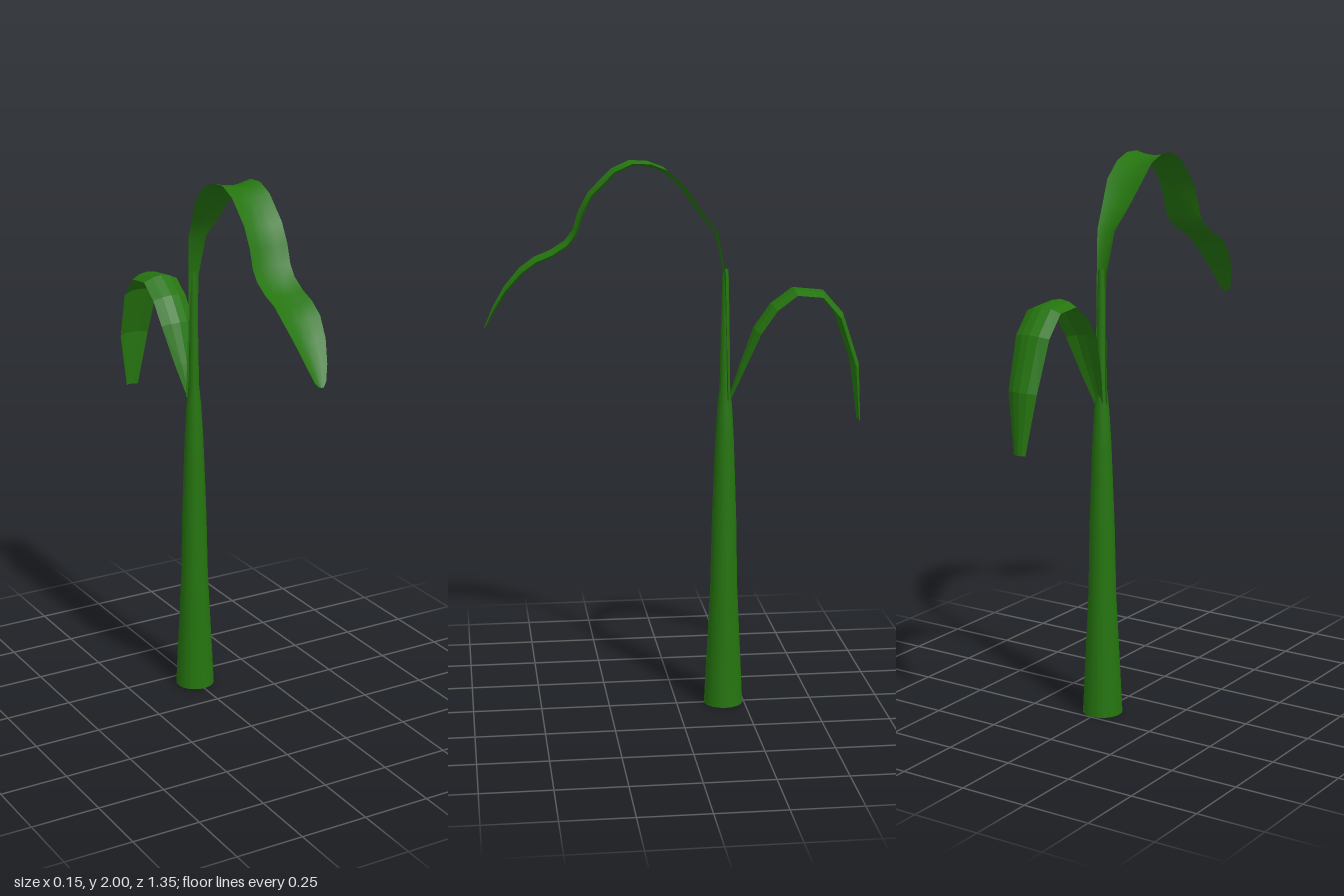
import * as THREE from 'three';

const STEM_Z = -0.174;

// Ribbon leaf: rows are [z, y, halfWidth]; fold lifts (+) or drops (-) the edges from the midrib.
function leafGeometry(rows, fold, faceted) {
  const pos = [], idx = [], across = [-1, -0.5, 0, 0.5, 1], n = across.length;
  rows.forEach(([z, y, w], i) => {
    const a = rows[Math.max(i - 1, 0)], b = rows[Math.min(i + 1, rows.length - 1)];
    let dz = b[0] - a[0], dy = b[1] - a[1];
    const len = Math.hypot(dz, dy);
    dz /= len; dy /= len;
    // outward side of the arch
    const s = Math.sign(rows[rows.length - 1][0] - rows[0][0]);
    const nz = -dy * s, ny = dz * s;
    for (const t of across) {
      const k = fold * (t * t - 0.5) * Math.min(1, w / 0.06);
      pos.push(t * w, y + ny * k, z + nz * k);
    }
    if (i === 0) return;
    for (let j = 0; j < n - 1; j++) {
      const p = (i - 1) * n + j, q = p + n;
      // keep the front face on the outer side of the arch
      if (s > 0) idx.push(p, q, p + 1, p + 1, q, q + 1);
      else idx.push(p, p + 1, q, p + 1, q + 1, q);
    }
  });
  let g = new THREE.BufferGeometry();
  g.setAttribute('position', new THREE.Float32BufferAttribute(pos, 3));
  g.setIndex(idx);
  if (faceted) g = g.toNonIndexed();
  g.computeVertexNormals();
  return g;
}

export function createModel() {
  const group = new THREE.Group();
  const green = new THREE.MeshStandardMaterial({ color: 0x25740f, side: THREE.DoubleSide });
  green.name = 'leaf green';
  const add = (name, geometry) => {
    const mesh = new THREE.Mesh(geometry, green);
    mesh.name = name;
    group.add(mesh);
    return mesh;
  };

  // Tapered stem, thinning into the stalk of the tall leaf
  const profile = [[0.072, 0], [0.05, 0.45], [0.045, 0.7], [0.034, 1.0], [0.027, 1.12], [0.019, 1.2], [0.016, 1.42], [0.011, 1.62]]
    .map(([r, y]) => new THREE.Vector2(r, y));
  add('stem', new THREE.LatheGeometry(profile, 18)).position.z = STEM_Z;
  const base = add('stemBase', new THREE.CircleGeometry(0.072, 18));
  base.rotation.x = Math.PI / 2;
  base.position.z = STEM_Z;

  // Tall leaf arching to the front
  add('tallLeaf', leafGeometry([
    [-0.18, 1.15, 0.028], [-0.174, 1.42, 0.02], [-0.17, 1.6, 0.02], [-0.14, 1.75, 0.036], [-0.08, 1.825, 0.055],
    [-0.02, 1.91, 0.073], [0.04, 1.967, 0.073], [0.1, 1.99, 0.073], [0.16, 1.992, 0.073],
    [0.22, 1.965, 0.073], [0.3, 1.885, 0.073], [0.335, 1.82, 0.073], [0.355, 1.755, 0.073],
    [0.385, 1.715, 0.073], [0.44, 1.68, 0.073], [0.495, 1.658, 0.073], [0.545, 1.622, 0.073],
    [0.6, 1.56, 0.06], [0.645, 1.49, 0.04], [0.67, 1.44, 0.022], [0.68, 1.425, 0.008],
  ], 0.014, false));

  // Short leaf arching to the back
  add('shortLeaf', leafGeometry([
    [-0.182, 1.13, 0.014], [-0.23, 1.26, 0.042], [-0.285, 1.4, 0.066], [-0.345, 1.485, 0.068],
    [-0.42, 1.54, 0.068], [-0.52, 1.53, 0.068], [-0.59, 1.45, 0.068],
    [-0.65, 1.27, 0.058], [-0.666, 1.06, 0.024],
  ], -0.022, true));

  return group;
}
